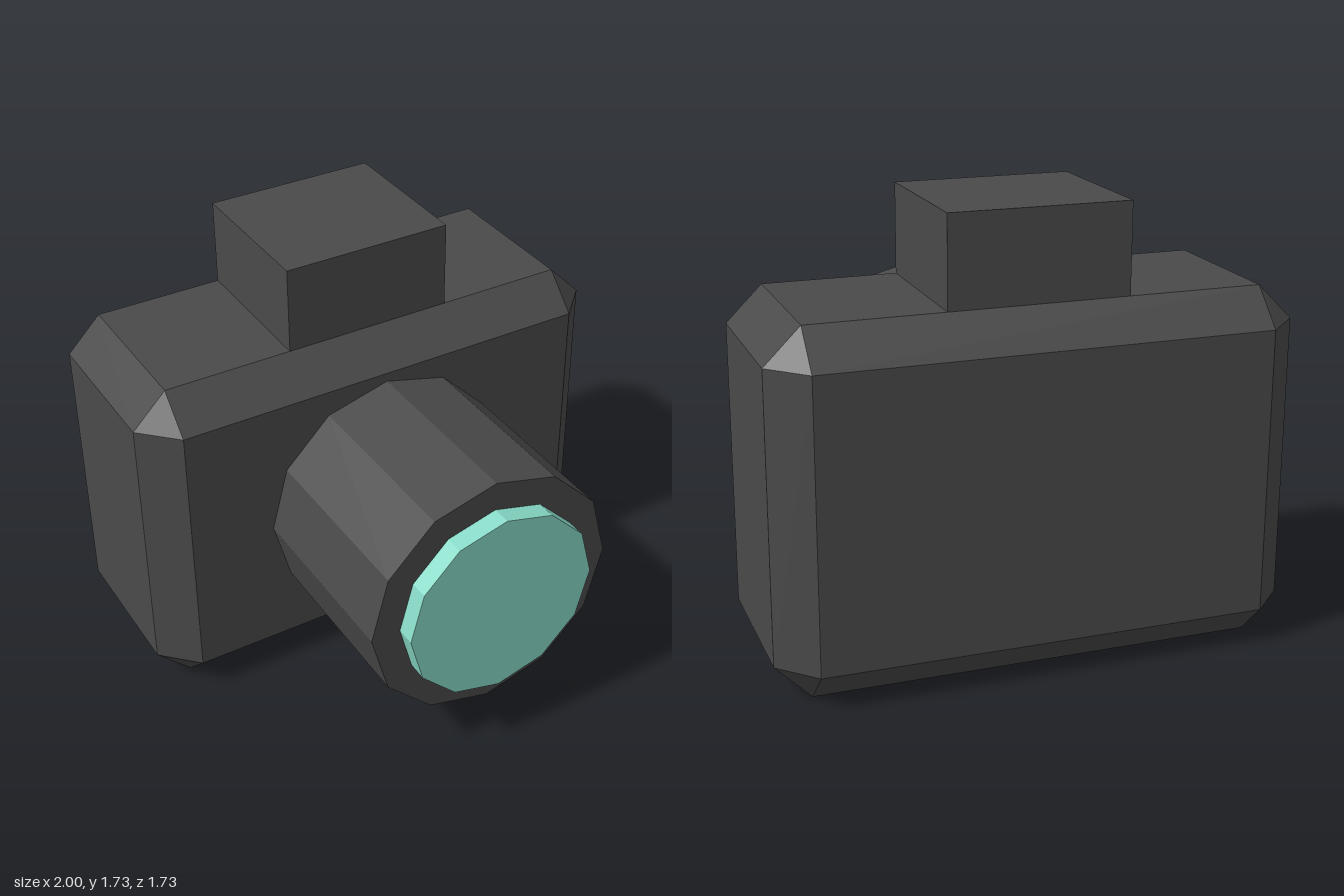
import * as THREE from 'three';
import { ConvexGeometry } from 'three/addons/geometries/ConvexGeometry.js';

// Box with every edge cut at 45 degrees and triangular corners
function chamferedBox(w, h, d, c) {
  const points = [];
  for (const sx of [-1, 1]) for (const sy of [-1, 1]) for (const sz of [-1, 1]) {
    const x = sx * w / 2, y = sy * h / 2, z = sz * d / 2;
    points.push(
      new THREE.Vector3(x, y - sy * c, z - sz * c),
      new THREE.Vector3(x - sx * c, y, z - sz * c),
      new THREE.Vector3(x - sx * c, y - sy * c, z)
    );
  }
  return new ConvexGeometry(points);
}

// Twelve-sided drum lying along z
function drum(radius, zBack, zFront) {
  return new THREE.CylinderGeometry(radius, radius, zFront - zBack, 12)
    .rotateX(Math.PI / 2)
    .translate(0, 0.692, (zBack + zFront) / 2);
}

export function createModel() {
  const group = new THREE.Group();
  const casing = new THREE.MeshStandardMaterial({ name: 'charcoal casing', color: 0x4a4a4a, flatShading: true });
  const glass = new THREE.MeshStandardMaterial({ name: 'mint glass', color: 0x88dac8, flatShading: true });

  const add = (name, geometry, material) => {
    const mesh = new THREE.Mesh(geometry, material);
    mesh.name = name;
    group.add(mesh);
  };

  // Chamfered camera body
  add('body', chamferedBox(2, 1.383, 0.893, 0.138).translate(0, 0.6915, -0.418), casing);

  // Viewfinder block on top
  add('viewfinder', new THREE.BoxGeometry(0.69, 0.347, 0.618).translate(0, 1.5565, -0.418), casing);

  // Lens barrel and its glass
  add('lensBarrel', drum(0.517, 0.0285, 0.788), casing);
  add('lensGlass', drum(0.398, 0.788, 0.8645), glass);

  return group;
}
